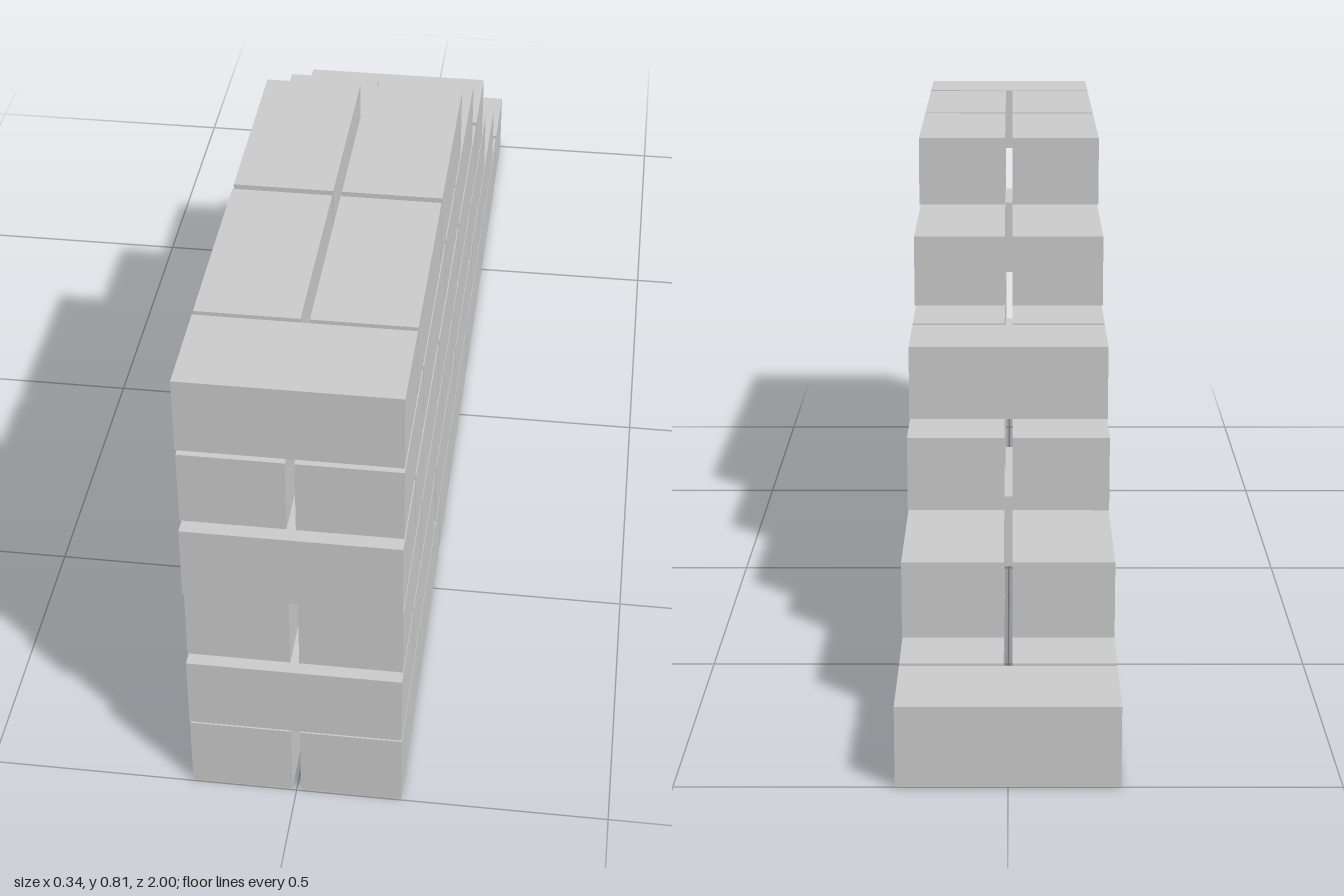
import * as THREE from 'three';

const HALF_WIDTH = 0.169; // half the wall thickness
const HALF_GAP = 0.007; // half the joint between side-by-side bricks

// Each course: bottom, top, then bricks from front to back as [kind, front z, back z].
// H = one header across the wall, S = a mirrored pair of stretchers along it.
const COURSES = [
  { y: [0, 0.128], bricks: [['S', 0.997, 0.744], ['S', 0.739, 0.4], ['H', 0.388, 0.224], ['S', 0.215, -0.121],
    ['S', -0.137, -0.474], ['S', -0.485, -0.825], ['H', -0.836, -1]] },
  { y: [0.134, 0.26], bricks: [['H', 1, 0.838], ['S', 0.831, 0.495], ['S', 0.477, 0.141], ['S', 0.131, -0.207],
    ['H', -0.217, -0.38], ['S', -0.39, -0.728]] },
  { y: [0.268, 0.394], bricks: [['S', 0.986, 0.738], ['S', 0.728, 0.389], ['H', 0.382, 0.219], ['S', 0.209, -0.129],
    ['S', -0.144, -0.482]] },
  { y: [0.402, 0.528], bricks: [['H', 0.997, 0.834], ['S', 0.824, 0.486], ['S', 0.472, 0.134], ['S', 0.12, -0.217],
    ['H', -0.228, -0.391]] },
  { y: [0.541, 0.667], bricks: [['S', 0.987, 0.739], ['S', 0.729, 0.39], ['H', 0.377, 0.218], ['S', 0.21, -0.13]] },
  { y: [0.679, 0.805], bricks: [['H', 0.991, 0.827], ['S', 0.818, 0.48], ['S', 0.467, 0.129]] },
];

export function createModel() {
  const wall = new THREE.Group();
  wall.name = 'steppedBrickWall';
  const material = new THREE.MeshStandardMaterial({ color: 0xcccccc, flatShading: true });

  function addBrick(course, name, x0, x1, [y0, y1], z0, z1) {
    const brick = new THREE.Mesh(new THREE.BoxGeometry(x1 - x0, y1 - y0, z1 - z0), material);
    brick.position.set((x0 + x1) / 2, (y0 + y1) / 2, (z0 + z1) / 2);
    brick.name = name;
    course.add(brick);
  }

  COURSES.forEach(({ y, bricks }, i) => {
    const course = new THREE.Group();
    course.name = `course${i + 1}`;
    bricks.forEach(([kind, front, back], j) => {
      if (kind === 'H') {
        addBrick(course, `headerBrick${j + 1}`, -HALF_WIDTH, HALF_WIDTH, y, back, front);
      } else {
        addBrick(course, `leftStretcherBrick${j + 1}`, HALF_GAP, HALF_WIDTH, y, back, front);
        addBrick(course, `rightStretcherBrick${j + 1}`, -HALF_WIDTH, -HALF_GAP, y, back, front);
      }
    });
    wall.add(course);
  });
  return wall;
}
